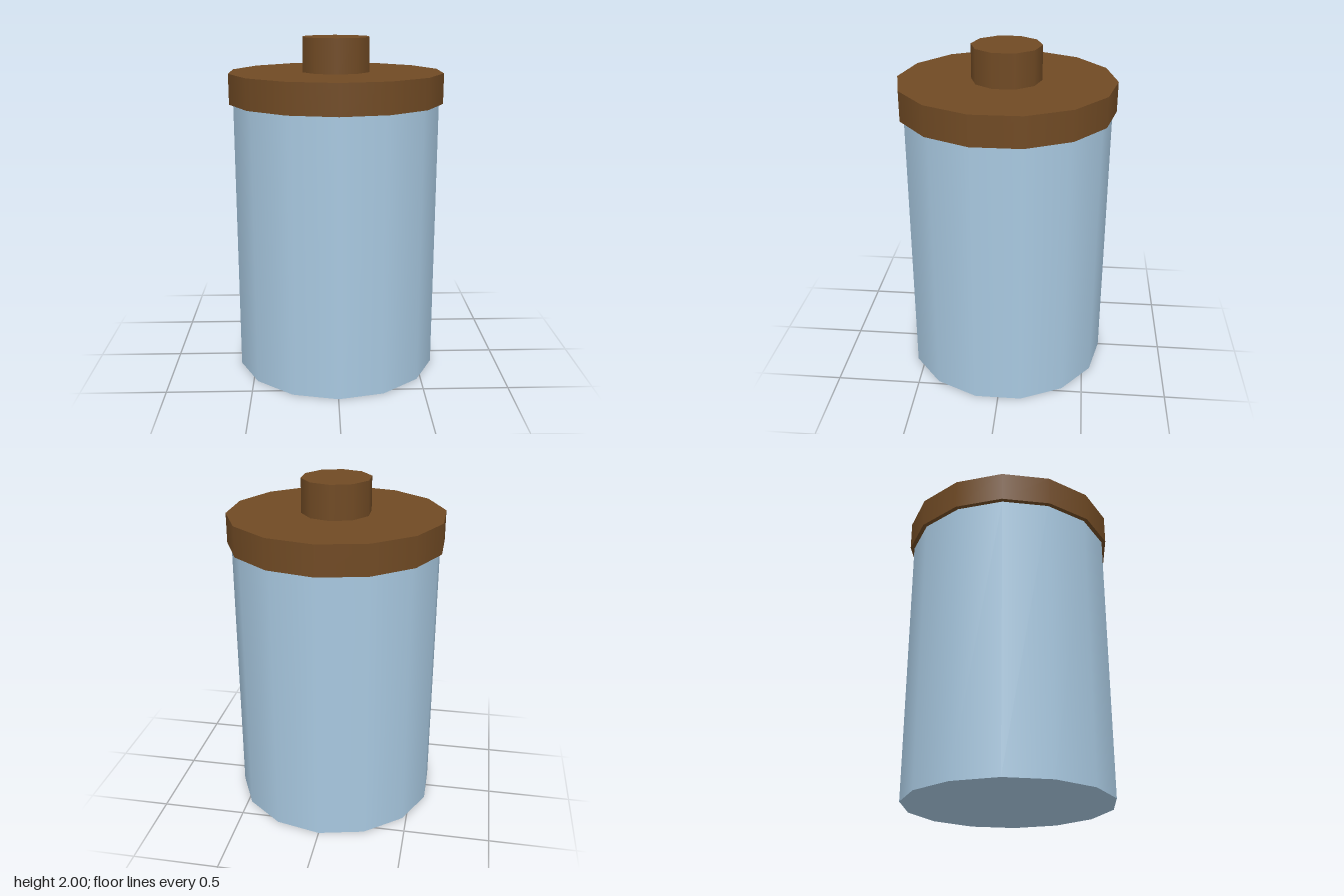
import * as THREE from 'three';

export function createModel() {
  const model = new THREE.Group();
  model.name = 'jar';

  const paleBlue = new THREE.MeshStandardMaterial({ color: 0xa8c8e0 });
  paleBlue.name = 'pale blue';
  const brown = new THREE.MeshStandardMaterial({ color: 0x704a24 });
  brown.name = 'brown';

  // Upright low-sided cylinder with smooth sides, from y = bottom to y = top
  function addCylinder(name, radius, bottom, top, sides, material) {
    const geometry = new THREE.CylinderGeometry(radius, radius, top - bottom, sides);
    const mesh = new THREE.Mesh(geometry, material);
    mesh.name = name;
    mesh.position.y = (bottom + top) / 2;
    model.add(mesh);
  }

  addCylinder('body', 0.608, 0, 1.622, 14, paleBlue);
  addCylinder('lid', 0.632, 1.625, 1.8, 14, brown);
  addCylinder('knob', 0.203, 1.8, 2, 10, brown);

  return model;
}
